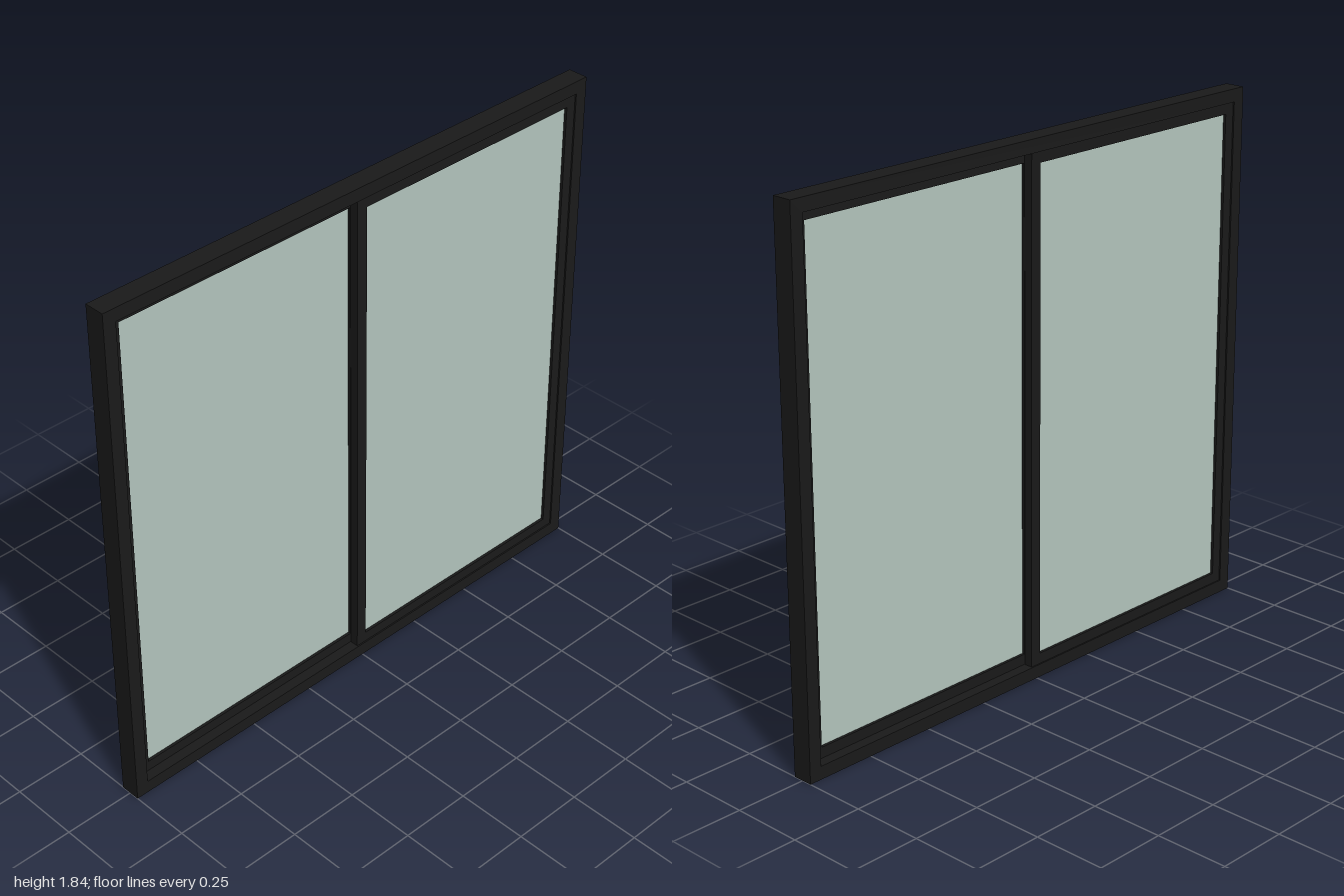
import * as THREE from 'three';

const WIDTH = 2, HEIGHT = 1.835, DEPTH = 0.072;
const FRAME = 0.045; // face width of the outer frame
const BAR = 0.04; // face width of the sash bars

// Rectangular ring centred on the origin, extruded along z
function ring(w, h, bar, depth) {
  const rect = (Type, a, b) => new Type([
    new THREE.Vector2(-a, -b), new THREE.Vector2(a, -b),
    new THREE.Vector2(a, b), new THREE.Vector2(-a, b),
  ]);
  const shape = rect(THREE.Shape, w / 2, h / 2);
  shape.holes.push(rect(THREE.Path, w / 2 - bar, h / 2 - bar));
  const geometry = new THREE.ExtrudeGeometry(shape, { depth, bevelEnabled: false });
  return geometry.translate(0, 0, -depth / 2);
}

export function createModel() {
  const model = new THREE.Group();
  model.name = 'slidingWindow';
  const dark = new THREE.MeshStandardMaterial({ color: 0x1a1a1a });
  const pane = new THREE.MeshStandardMaterial({ color: 0xb4c6be });

  const add = (parent, name, geometry, material) => {
    const mesh = new THREE.Mesh(geometry, material);
    mesh.name = name;
    parent.add(mesh);
    return mesh;
  };

  // Outer frame
  add(model, 'outerFrame', ring(WIDTH, HEIGHT, FRAME, DEPTH), dark).position.y = HEIGHT / 2;

  // Two sashes on separate tracks, their meeting stiles overlapping at x = 0
  const outer = WIDTH / 2 - FRAME + 0.003;
  const sashW = outer + BAR / 2;
  const sashH = HEIGHT - 2 * FRAME + 0.006;
  const sashDepth = 0.03;
  for (const side of [1, -1]) {
    const sash = new THREE.Group();
    sash.name = side > 0 ? 'leftSash' : 'rightSash';
    sash.position.set(side * (outer - BAR / 2) / 2, HEIGHT / 2, side * 0.016);
    add(sash, 'sashFrame', ring(sashW, sashH, BAR, sashDepth), dark);
    add(sash, 'glass', new THREE.BoxGeometry(sashW - 2 * BAR + 0.01, sashH - 2 * BAR + 0.01, 0.01), pane);
    model.add(sash);
  }
  return model;
}
